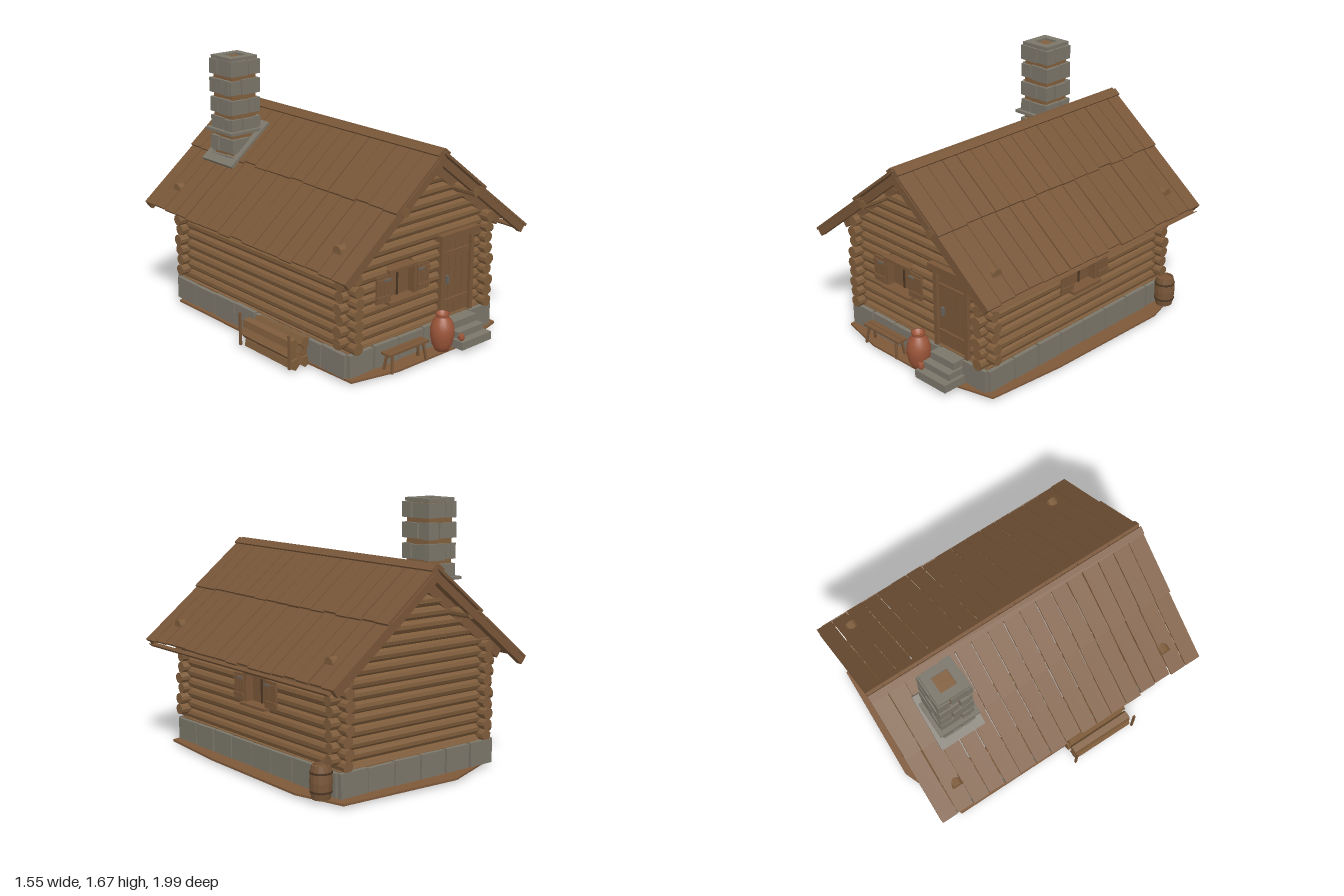
import * as THREE from 'three';

const mat = (name, color) => {
  const m = new THREE.MeshStandardMaterial({ color, flatShading: true });
  m.name = name;
  return m;
};

export function createModel() {
  const root = new THREE.Group();
  root.name = 'logCabin';
  const log = mat('log wood', 0x7e5c3b), plank = mat('plank wood', 0x785638), dark = mat('dark wood', 0x4b3623);
  const stone = mat('stone', 0x7b766a), earth = mat('earth', 0x7f593a), mortar = mat('clay mortar', 0x82603e);
  const iron = mat('iron', 0x67635c), clay = mat('terracotta', 0x9c5539);
  clay.flatShading = false;
  clay.side = THREE.DoubleSide;

  let seed = 7;
  const rnd = (a = 1) => {
    seed = (seed * 16807) % 2147483647;
    return (seed / 2147483647 * 2 - 1) * a;
  };
  const group = (name, parent = root) => {
    const g = new THREE.Group();
    g.name = name;
    parent.add(g);
    return g;
  };
  const add = (parent, name, geo, m, x = 0, y = 0, z = 0) => {
    const mesh = new THREE.Mesh(geo, m);
    mesh.name = name;
    mesh.position.set(x, y, z);
    parent.add(mesh);
    return mesh;
  };
  const box = (p, name, m, w, h, d, x, y, z) => add(p, name, new THREE.BoxGeometry(w, h, d), m, x, y, z);
  // Round timber from a to b along the x or z axis
  const timber = (p, name, axis, a, b, y, off, r, sides = 10) => {
    const g = new THREE.CylinderGeometry(r, r * 0.96, b - a, sides);
    g.rotateY(rnd(0.3));
    if (axis === 'x') g.rotateZ(Math.PI / 2); else g.rotateX(Math.PI / 2);
    const mid = (a + b) / 2;
    return add(p, name, g, log, axis === 'x' ? mid : off, y, axis === 'x' ? off : mid);
  };

  const XW = 0.55, ZF = 0.77, ZB = -0.79, R = 0.037, PITCH = 0.07;

  // Ring of bare ground around the footing
  const gs = new THREE.Shape([[0.64, -0.93], [0.73, -0.6], [0.71, 0.3], [0.66, 0.83], [0.25, 0.93], [-0.3, 0.93],
    [-0.61, 0.86], [-0.64, 0.1], [-0.64, -0.8], [-0.2, -0.97]].map(([x, z]) => new THREE.Vector2(x, -z)));
  gs.holes.push(new THREE.Path([[-0.5, -0.72], [0.5, -0.72], [0.5, 0.74], [-0.5, 0.74]].map(([x, y]) => new THREE.Vector2(x, y))));
  add(root, 'ground', new THREE.ExtrudeGeometry(gs, { depth: 0.013, bevelEnabled: false }).rotateX(-Math.PI / 2), earth, 0, 0.017, 0);

  // Clay footing faced with stones
  const base = group('foundation');
  for (const s of [-1, 1]) {
    box(base, 'footingSide', mortar, 0.1, 0.155, 1.65, s * 0.545, 0.107, -0.015);
    box(base, 'footingEnd', mortar, 1.18, 0.155, 0.1, 0, 0.107, s * 0.775 - 0.015);
  }
  const facing = (n, length, place) => {
    for (let i = 0; i < n; i++) {
      const w = length / n;
      const m = box(base, 'foundationStone', stone, w - 0.012 + rnd(0.01), 0.145 + rnd(0.008), 0.06, 0, 0, 0);
      place(m, -length / 2 + w * (i + 0.5));
      m.rotation.z = rnd(0.02);
    }
  };
  for (const s of [-1, 1]) {
    facing(6, 1.22, (m, t) => m.position.set(t, 0.107, s * 0.823 - 0.015));
    facing(8, 1.66, (m, t) => { m.position.set(s * 0.592, 0.107, t - 0.015); m.rotation.y = Math.PI / 2; });
  }

  // Log walls, split around door and window openings
  const walls = group('walls');
  const run = (axis, half0, half1, y, off, holes) => {
    let a = half0;
    for (const [h0, h1, y0, y1] of holes) {
      if (y < y0 || y > y1) continue;
      timber(walls, 'wallLog', axis, a, h0, y, off, R + rnd(0.0015));
      a = h1;
    }
    timber(walls, 'wallLog', axis, a, half1, y, off, R + rnd(0.0015));
  };
  const frontHoles = [[-0.27, -0.06, 0.42, 0.6], [0.18, 0.43, 0.19, 0.7]];
  for (let i = 0; i < 15; i++) {
    const y = 0.175 + i * PITCH;
    for (const z of [ZF, ZB]) {
      const h = i === 0 ? 0.58 : i < 10 ? 0.635 + rnd(0.01) : (1.235 - y) / 0.784;
      run('x', -h, h, y, z, z > 0 ? frontHoles : []);
    }
  }
  for (let i = 0; i < 9; i++)
    for (const s of [-1, 1])
      run('z', -0.87 + rnd(0.012), 0.855 + rnd(0.012), 0.21 + i * PITCH, s * XW, s > 0 ? [[-0.14, 0.07, 0.42, 0.6]] : []);

  // Window with recessed boards, frame and open shutters
  const makeWindow = (name, x, z, turn) => {
    const g = group(name);
    g.position.set(x, 0.51, z);
    g.rotation.y = turn;
    box(g, 'windowBoard', plank, 0.21, 0.19, 0.012, 0, 0, -0.01);
    box(g, 'mullion', dark, 0.01, 0.18, 0.01, 0, 0, 0.0);
    for (const s of [-1, 1]) {
      box(g, 'jamb', plank, 0.018, 0.19, 0.09, s * 0.106, 0, 0.005);
      for (let i = 0; i < 3; i++)
        box(g, 'shutterPlank', plank, 0.03, 0.165 + rnd(0.01), 0.012, s * (0.135 + i * 0.033), 0, 0.048);
      for (const y of [-0.05, 0.055]) box(g, 'shutterBatten', plank, 0.095, 0.02, 0.01, s * 0.168, y, 0.058);
      box(g, 'hinge', iron, 0.05, 0.012, 0.006, s * 0.14, 0.058, 0.066);
    }
    box(g, 'lintel', plank, 0.235, 0.02, 0.1, 0, 0.095, 0.01);
    box(g, 'sill', plank, 0.255, 0.018, 0.12, 0, -0.097, 0.02);
  };
  makeWindow('frontWindow', -0.165, ZF, 0);
  makeWindow('sideWindow', XW, -0.035, Math.PI / 2);

  // Plank door with frame
  const door = group('door');
  for (const x of [0.172, 0.433]) box(door, 'doorPost', plank, 0.028, 0.51, 0.1, x, 0.437, 0.775);
  box(door, 'doorLintel', plank, 0.335, 0.042, 0.12, 0.302, 0.71, 0.785);
  for (let i = 0; i < 4; i++) box(door, 'doorPlank', plank, 0.056, 0.49, 0.02 + rnd(0.004), 0.214 + i * 0.0595, 0.437, 0.79);
  for (const y of [0.28, 0.59]) box(door, 'doorBatten', plank, 0.225, 0.03, 0.012, 0.303, y, 0.807);
  box(door, 'handle', iron, 0.014, 0.05, 0.02, 0.225, 0.425, 0.812);

  // Stone steps
  const steps = group('steps');
  [[0.26, 0.03, 0.085, 1.0], [0.225, 0.085, 0.13, 0.95], [0.2, 0.13, 0.18, 0.9]].forEach(([w, y0, y1, z]) =>
    box(steps, 'step', stone, w, y1 - y0 - 0.003, z - 0.82, 0.303, (y0 + y1) / 2, (z + 0.82) / 2));

  // Roof slopes: local x runs down the slope
  const roof = group('roof');
  const theta = Math.atan2(0.6, 0.765), L = 0.965, W = 1.96 / 17;
  for (const s of [-1, 1]) {
    const g = group(s > 0 ? 'leftSlope' : 'rightSlope', roof);
    g.position.set(0, 1.298, -0.01);
    g.rotation.z = -s * theta;
    for (let i = 0; i < 17; i++) {
      const z = -0.98 + W * (i + 0.5);
      for (const [u0, u1, n] of [[0.0, 0.465, 0.007], [0.44, L, -0.007]]) {
        const end = u1 + rnd(0.008);
        const m = box(g, 'roofPlank', plank, end - u0, 0.016, W - 0.006 + rnd(0.003), s * (u0 + end) / 2, n + rnd(0.002), z);
        m.rotation.y = rnd(0.008);
      }
    }
    for (const z of [-0.955, 0.955]) box(g, 'bargeBoard', plank, L, 0.05, 0.035, s * L / 2, -0.036, z);
    for (const z of [ZB + 0.01, ZF + 0.01]) box(g, 'rafter', plank, 0.9, 0.06, 0.07, s * 0.46, -0.045, z);
    box(g, 'ridgeBoard', plank, 0.05, 0.012, 1.96, s * 0.018, 0.023, 0);
  }
  timber(roof, 'ridgeBeam', 'z', -0.93, 0.92, 1.215, 0, 0.035);
  for (const s of [-1, 1]) timber(roof, 'purlin', 'z', -0.975, 0.967, 1.005, s * 0.293, 0.029);

  // V-shaped wooden gutter under one eave
  const gutter = group('gutter');
  for (const s of [-1, 1]) box(gutter, 'gutterBoard', plank, 0.03, 0.006, 1.86, 0.748 + s * 0.011, 0.668, -0.01).rotation.z = s * 0.65;

  // Chimney: clay core, stone courses, cap and flashing
  const ch = group('chimney');
  ch.position.set(-0.28, 0, -0.615);
  box(ch, 'chimneyCore', mortar, 0.19, 0.72, 0.19, 0, 1.297, 0);
  [0.985, 1.1, 1.228, 1.352, 1.478, 1.6].forEach((y, k) => {
    for (let q = 0; q < 4; q++) {
      const side = group('stoneCourse', ch);
      side.rotation.y = q * Math.PI / 2;
      const cut = (k + q) % 2 ? 0.025 : -0.03;
      for (const [a, b] of [[-0.113, cut - 0.006], [cut + 0.006, 0.09]]) {
        const m = box(side, 'chimneyStone', stone, b - a, 0.095 + rnd(0.007), 0.04, (a + b) / 2, y, 0.095 + rnd(0.005));
        m.rotation.z = rnd(0.03);
      }
    }
  });
  const ring = (p, name, inner, outer, h, y, sx = 1) => {
    const mid = (inner + outer) / 2, t = outer - inner;
    for (const s of [-1, 1]) {
      box(p, name, stone, 2 * outer * sx, h, t, 0, y, s * mid);
      box(p, name, stone, t * sx, h, 2 * inner, s * mid * sx, y, 0);
    }
  };
  ring(ch, 'chimneyCap', 0.053, 0.105, 0.022, 1.66);
  ring(ch, 'chimneyLedge', 0.1, 0.14, 0.018, 1.19);
  const flash = group('flashing', ch);
  flash.position.y = 1.298 - 0.28 * Math.tan(theta) + 0.025;
  flash.rotation.z = theta;
  ring(flash, 'flashingStone', 0.105, 0.155, 0.022, 0, 1 / Math.cos(theta));

  // Barrel
  const barrel = group('barrel');
  const lathe = (p, name, pts, m, seg, x, z) =>
    add(p, name, new THREE.LatheGeometry(pts.map(([r, y]) => new THREE.Vector2(r, y)), seg), m, x, 0, z);
  lathe(barrel, 'barrelBody', [[0, 0.03], [0.054, 0.03], [0.064, 0.08], [0.067, 0.13], [0.064, 0.18], [0.055, 0.228],
    [0.047, 0.228], [0.047, 0.215], [0, 0.215]], plank, 14, 0.672, -0.77);
  for (const y of [0.075, 0.185]) add(barrel, 'barrelHoop', new THREE.CylinderGeometry(0.066, 0.066, 0.012, 14), dark, 0.672, y, -0.77);

  // Clay jars
  lathe(root, 'largeJar', [[0, 0.03], [0.042, 0.03], [0.062, 0.07], [0.075, 0.13], [0.074, 0.175], [0.06, 0.22], [0.04, 0.245],
    [0.038, 0.255], [0.045, 0.27], [0.036, 0.268], [0.03, 0.25], [0, 0.24]], clay, 20, 0.098, 0.9);
  lathe(root, 'smallJar', [[0, 0.085], [0.012, 0.085], [0.021, 0.1], [0.014, 0.116], [0.017, 0.123], [0, 0.118]], clay, 14, 0.195, 0.97);

  // Bench
  const bench = group('bench');
  for (const z of [0.88, 0.918]) box(bench, 'benchPlank', plank, 0.33, 0.014, 0.034, -0.215, 0.142, z);
  for (const s of [-1, 1])
    for (const t of [-1, 1]) {
      const leg = box(bench, 'benchLeg', plank, 0.014, 0.118, 0.014, -0.215 + s * 0.135, 0.082, 0.9 + t * 0.028);
      leg.rotation.set(-t * 0.12, 0, s * 0.14);
    }

  // Firewood stack between stakes
  const pile = group('firewood');
  for (const z of [0.035, 0.5]) box(pile, 'stake', plank, 0.014, 0.215, 0.014, -0.772, 0.137, z);
  for (let i = 0; i < 6; i++) {
    const x = -0.725 + (i % 2) * 0.078 + rnd(0.006), y = 0.04 + Math.floor(i / 2) * 0.062;
    timber(pile, 'splitLog', 'z', 0.045 + rnd(0.012), 0.49 + rnd(0.012), y, x, 0.038, 5);
  }
  return root;
}
